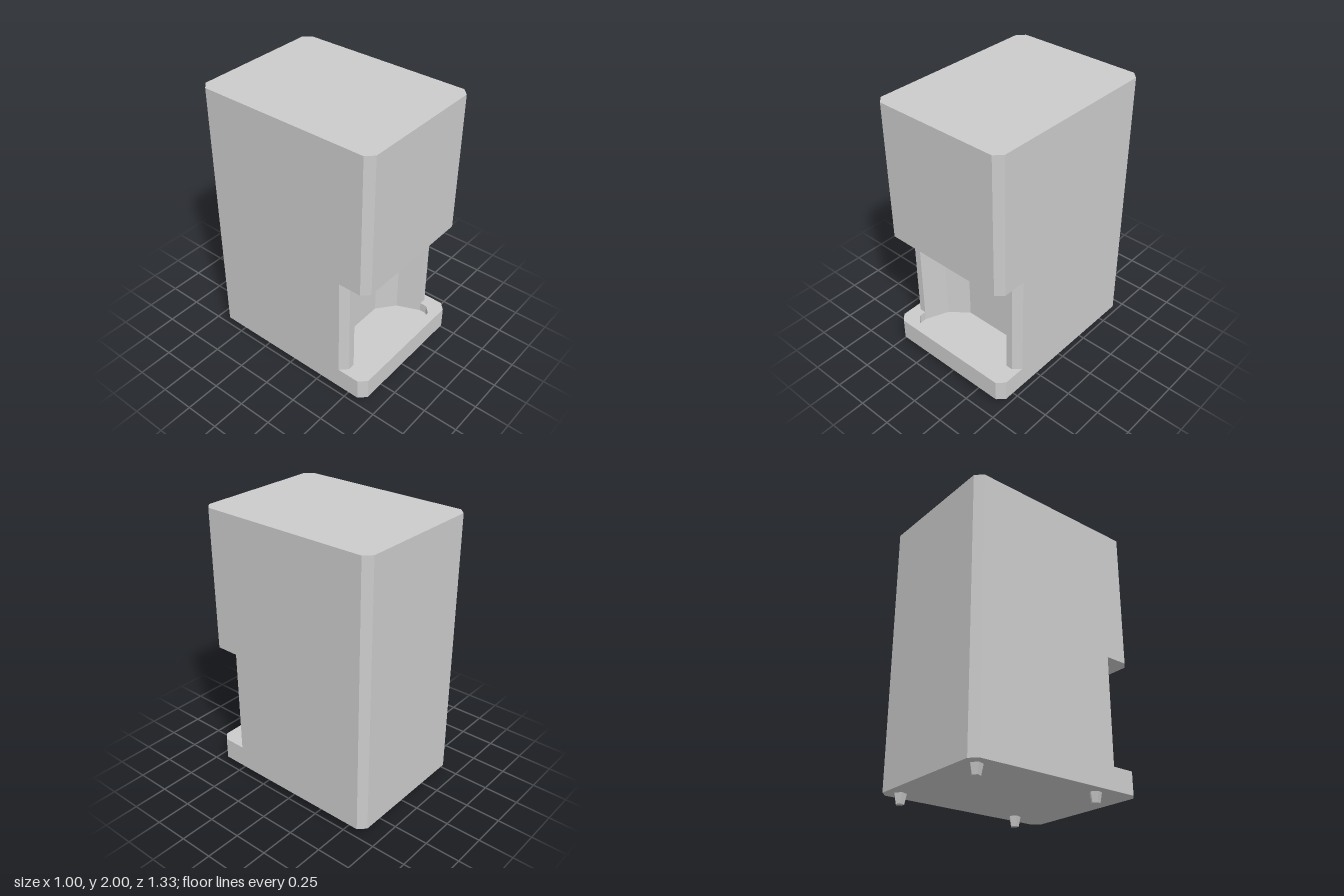
import * as THREE from 'three';

const material = new THREE.MeshStandardMaterial({ color: 0xcccccc, flatShading: true });

function add(group, name, geometry, x = 0, y = 0, z = 0) {
  const mesh = new THREE.Mesh(geometry, material);
  mesh.name = name;
  mesh.position.set(x, y, z);
  group.add(mesh);
  return mesh;
}

// Mirror a half outline of [x, z] points, listed front to back, across x = 0.
function mirrored(half) {
  const right = half.map(([x, z]) => new THREE.Vector2(x, -z));
  const left = half.map(([x, z]) => new THREE.Vector2(-x, -z)).reverse();
  return [...right, ...left];
}

// Raise a plan outline from y0 to y1.
function slab(outline, y0, y1, hole) {
  const shape = new THREE.Shape(outline);
  if (hole) shape.holes.push(new THREE.Path(hole));
  return new THREE.ExtrudeGeometry(shape, { depth: y1 - y0, bevelEnabled: false })
    .rotateX(-Math.PI / 2).translate(0, y0, 0);
}

// Five-sided tapered peg, flat side to the front.
function peg(top, bottom, height) {
  return new THREE.CylinderGeometry(top, bottom, height, 5).rotateY(Math.PI);
}

export function createModel() {
  const group = new THREE.Group();
  const back = [[0.5, -0.615], [0.45, -0.665]];
  const alcove = [[0.4, 0.5], [0.33, 0.335], [0.2, 0.23]];
  const full = mirrored([[0.45, 0.665], [0.5, 0.615], ...back]);
  const tray = mirrored([[0.35, 0.6], [0.4, 0.55], ...alcove]);

  // Housing: base with sunken tray, middle with alcove, overhanging top
  add(group, 'base', slab(full, 0.07, 0.16));
  add(group, 'trayRim', slab(full, 0.16, 0.23, tray));
  const middle = mirrored([...alcove.slice().reverse(), [0.45, 0.5], [0.5, 0.45], ...back]);
  add(group, 'middleHousing', slab(middle, 0.23, 1));
  add(group, 'upperHousing', slab(full, 1, 2));

  // Spout under the overhang
  add(group, 'spout', peg(0.042, 0.032, 0.065), 0, 0.9675, 0.42);

  // Push lever: bevelled plate with cut corners
  const w = 0.105, h = 0.03, c = 0.013;
  const plate = new THREE.Shape([
    [w - c, -h], [w, -h + c], [w, h - c], [w - c, h],
    [-w + c, h], [-w, h - c], [-w, -h + c], [-w + c, -h],
  ].map(([x, y]) => new THREE.Vector2(x, y)));
  add(group, 'pushLever', new THREE.ExtrudeGeometry(plate, {
    depth: 0.05, bevelThickness: 0.01, bevelSize: 0.01, bevelSegments: 1,
  }), 0, 0.795, 0.23);

  // Feet
  for (const x of [-0.4, 0.4]) {
    for (const z of [0.372, -0.565]) add(group, 'foot', peg(0.042, 0.029, 0.07), x, 0.035, z);
  }
  return group;
}
